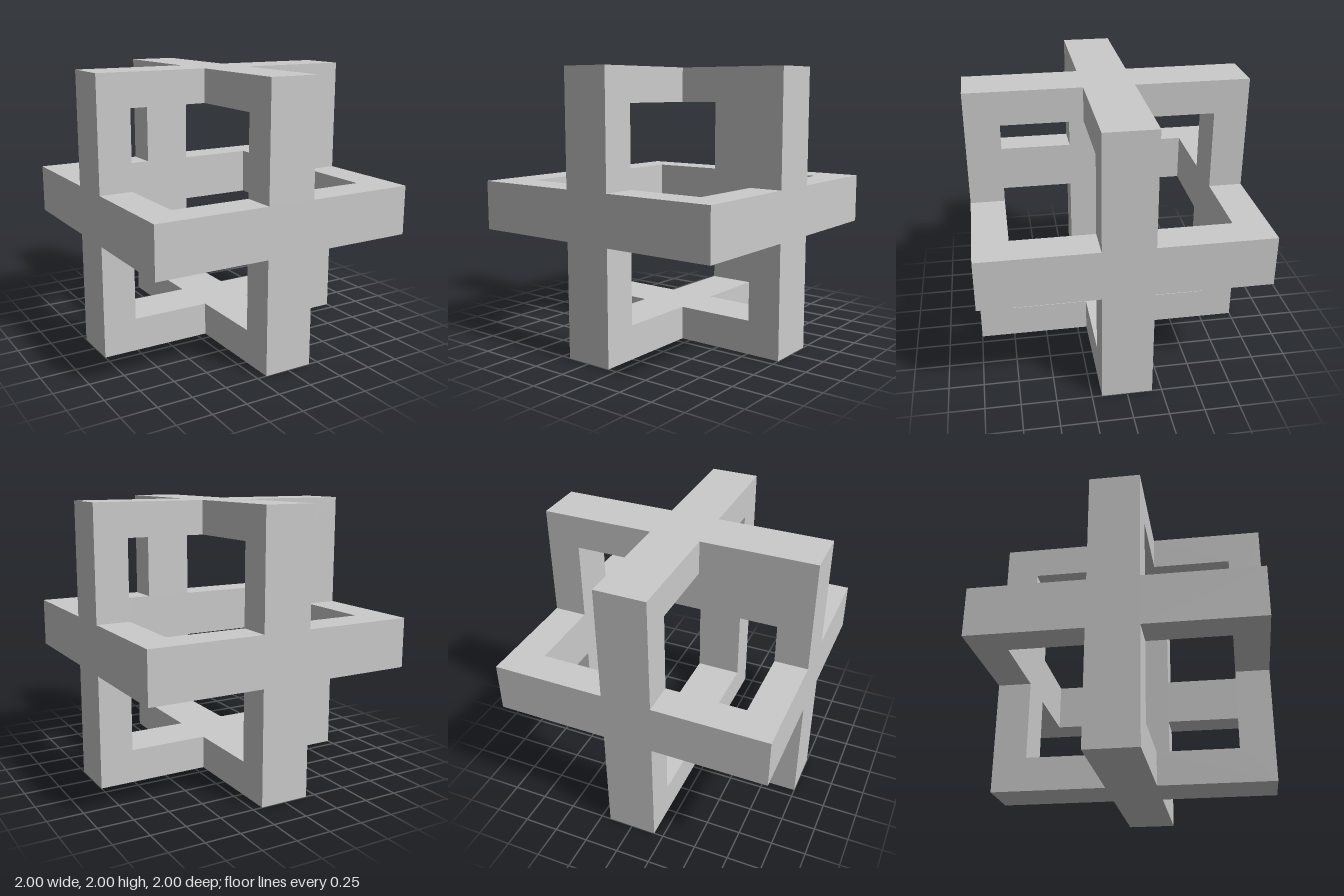
import * as THREE from 'three';

const OUTER = 1;      // half size of each square frame
const INNER = 0.757;  // half size of the frame opening
const HALF = 0.18;    // half width of a bar

// Plus-shaped plate facing +z, its arm ends mitred at 45 degrees and left open
// so that six of them join into three interlocked square frames.
function crossGeometry() {
  const plus = new THREE.Shape();
  const arm = [[HALF, -HALF], [OUTER, -HALF], [OUTER, HALF]];
  for (let i = 0; i < 4; i++) {
    for (const [x, y] of arm) {
      const [c, s] = [[1, 0], [0, 1], [-1, 0], [0, -1]][i];
      const p = [x * c - y * s, x * s + y * c];
      if (plus.curves.length === 0 && plus.currentPoint.lengthSq() === 0) plus.moveTo(...p);
      else plus.lineTo(...p);
    }
  }
  plus.closePath();

  const extruded = new THREE.ExtrudeGeometry(plus, { depth: OUTER - INNER, bevelEnabled: false });
  extruded.translate(0, 0, INNER);
  const source = extruded.index ? extruded.toNonIndexed() : extruded;
  const pos = source.attributes.position;

  // Pull the inner ends of the arms in to form the mitres, skipping the end faces
  const kept = [];
  for (let i = 0; i < pos.count; i += 3) {
    const tri = [0, 1, 2].map((k) => new THREE.Vector3().fromBufferAttribute(pos, i + k));
    const isEnd = ['x', 'y'].some((a) => [1, -1].some((s) => tri.every((v) => v[a] * s > 0.9)));
    if (isEnd) continue;
    for (const v of tri) {
      if (v.z < (INNER + OUTER) / 2) {
        v.x = THREE.MathUtils.clamp(v.x, -INNER, INNER);
        v.y = THREE.MathUtils.clamp(v.y, -INNER, INNER);
      }
      kept.push(v.x, v.y, v.z);
    }
  }
  const geometry = new THREE.BufferGeometry();
  geometry.setAttribute('position', new THREE.Float32BufferAttribute(kept, 3));
  geometry.computeVertexNormals();
  return geometry;
}

export function createModel() {
  const model = new THREE.Group();
  model.name = 'interlockedFrames';
  const material = new THREE.MeshStandardMaterial({ color: 0xcccccc, flatShading: true });
  const geometry = crossGeometry();
  const q = Math.PI / 2;

  // One cross on each side of the cube
  const sides = {
    frontCross: [0, 0], leftCross: [0, q], backCross: [0, 2 * q],
    rightCross: [0, -q], topCross: [-q, 0], bottomCross: [q, 0],
  };
  for (const [name, [rx, ry]] of Object.entries(sides)) {
    const cross = new THREE.Mesh(geometry, material);
    cross.name = name;
    cross.rotation.set(rx, ry, 0);
    cross.position.y = OUTER;
    model.add(cross);
  }
  return model;
}
